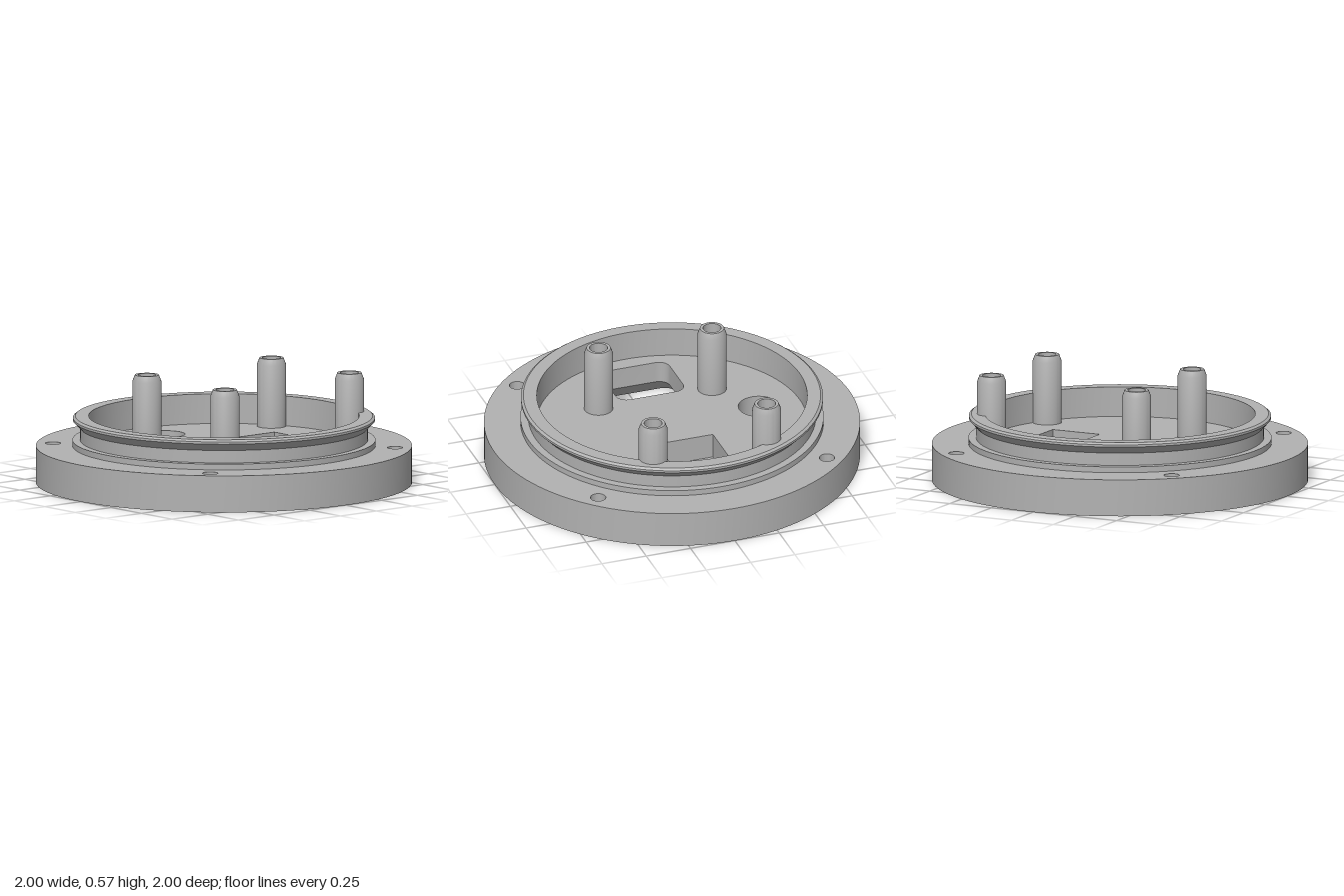
import * as THREE from 'three';
import { toCreasedNormals } from 'three/addons/utils/BufferGeometryUtils.js';

const TOP = 0.197;      // flange top and cavity floor
const POCKET = 0.06;    // floor of the recesses

// Closed outlines in the x/z plane
function circle(r, x = 0, z = 0, n = 48) {
  return Array.from({ length: n }, (_, i) => {
    const a = (i / n) * Math.PI * 2;
    return new THREE.Vector2(x + r * Math.cos(a), z + r * Math.sin(a));
  });
}

function roundRect(hx, hz, r, x, z, n = 8) {
  const pts = [];
  [[1, 1], [-1, 1], [-1, -1], [1, -1]].forEach(([sx, sz], q) => {
    for (let i = 0; i <= n; i++) {
      const a = (q + i / n) * Math.PI / 2;
      pts.push(new THREE.Vector2(x + sx * (hx - r) + r * Math.cos(a), z + sz * (hz - r) + r * Math.sin(a)));
    }
  });
  return pts;
}

function rect(hx, hz, x, z) {
  return [[1, 1], [-1, 1], [-1, -1], [1, -1]].map(([a, b]) => new THREE.Vector2(x + a * hx, z + b * hz));
}

// Skin between outlines: rising sections face inward, falling ones outward
function loft(sections) {
  const pos = [];
  for (let k = 0; k + 1 < sections.length; k++) {
    const [a, ya] = sections[k], [b, yb] = sections[k + 1];
    for (let i = 0; i < a.length; i++) {
      const j = (i + 1) % a.length;
      const a0 = [a[i].x, ya, a[i].y], a1 = [a[j].x, ya, a[j].y];
      const b0 = [b[i].x, yb, b[i].y], b1 = [b[j].x, yb, b[j].y];
      pos.push(...a0, ...b1, ...b0, ...a0, ...a1, ...b1);
    }
  }
  const g = new THREE.BufferGeometry();
  g.setAttribute('position', new THREE.Float32BufferAttribute(pos, 3));
  return toCreasedNormals(g, 0.45);
}

// Round profile given as [radius, y] pairs around a vertical axis
const turned = (profile, x = 0, z = 0, n = 48) => loft(profile.map(([r, y]) => [circle(r, x, z, n), y]));

// Flat horizontal face with holes
function face(outline, holes, y, up) {
  const shape = new THREE.Shape(outline);
  shape.holes = holes.map((h) => new THREE.Path(h));
  const g = new THREE.ShapeGeometry(shape).rotateX(Math.PI / 2).translate(0, y, 0);
  if (up) {
    g.index.array.reverse();
    g.computeVertexNormals();
  }
  return g;
}

export function createModel() {
  const group = new THREE.Group();
  const grey = new THREE.MeshStandardMaterial({ color: 0xb2b2b2, side: THREE.DoubleSide });
  grey.name = 'plain grey';
  const add = (name, geometry) => {
    const mesh = new THREE.Mesh(geometry, grey);
    mesh.name = name;
    group.add(mesh);
  };

  const corners = [[1, 1], [-1, 1], [-1, -1], [1, -1]].map(([a, b]) => [a * 0.645, b * 0.645]);
  const socketScrews = [[0.3, 0.465], [-0.3, 0.465]];
  const rim = circle(1, 0, 0, 128);
  const square = rect(0.158, 0.14, 0, -0.345);
  const squareHole = circle(0.077, 0, -0.345);
  const bore = circle(0.11, -0.49, 0);
  const boreHole = circle(0.029, -0.49, 0);
  const socket = roundRect(0.19, 0.166, 0.06, 0, 0.465);
  const socketFlare = roundRect(0.25, 0.226, 0.07, 0, 0.465);

  // Flange disc
  add('flangeSide', loft([[rim, TOP], [rim, 0]]));
  add('flangeTop', face(rim, [...corners.map(([x, z]) => circle(0.041, x, z)), square, bore, socket], TOP, true));
  add('flangeUnderside', face(rim, [
    ...corners.map(([x, z]) => circle(0.072, x, z)),
    ...socketScrews.map(([x, z]) => circle(0.044, x, z)),
    squareHole, boreHole, socketFlare,
  ], 0, false));

  // Countersunk screw holes
  for (const [x, z] of corners) {
    add('screwHole', turned([[0.072, 0], [0.041, 0.04], [0.041, TOP]], x, z));
  }

  // Square recess and round recess, each with a through hole
  add('squareRecessWall', loft([[square, POCKET], [square, TOP]]));
  add('squareRecessFloor', face(square, [squareHole], POCKET, true));
  add('squareRecessHole', loft([[squareHole, 0], [squareHole, POCKET]]));
  add('roundRecessWall', loft([[bore, POCKET], [bore, TOP]]));
  add('roundRecessFloor', face(bore, [boreHole], POCKET, true));
  add('roundRecessHole', loft([[boreHole, 0], [boreHole, POCKET]]));

  // Socket opening, flared towards the underside, with two blind holes
  add('socketOpening', loft([[socketFlare, 0], [socket, 0.08], [socket, TOP]]));
  for (const [x, z] of socketScrews) {
    add('blindHole', turned([[0.044, 0], [0.044, 0.12]], x, z));
    add('blindHoleEnd', face(circle(0.044, x, z), [], 0.12, false));
  }

  // Raised collar with seal groove and lip
  add('collar', turned([
    [0.719, TOP], [0.719, 0.357], [0.79, 0.357], [0.803, 0.347], [0.803, 0.335],
    [0.765, 0.295], [0.765, 0.228], [0.806, 0.228], [0.806, TOP],
  ], 0, 0, 128));

  // Hollow standoff posts
  for (const x of [-0.32, 0.32]) {
    for (const z of [-0.603, 0.266]) {
      add('post', turned([
        [0.001, 0.3], [0.048, 0.3], [0.048, 0.566], [0.064, 0.566], [0.077, 0.532], [0.077, TOP],
      ], x, z));
    }
  }
  return group;
}
